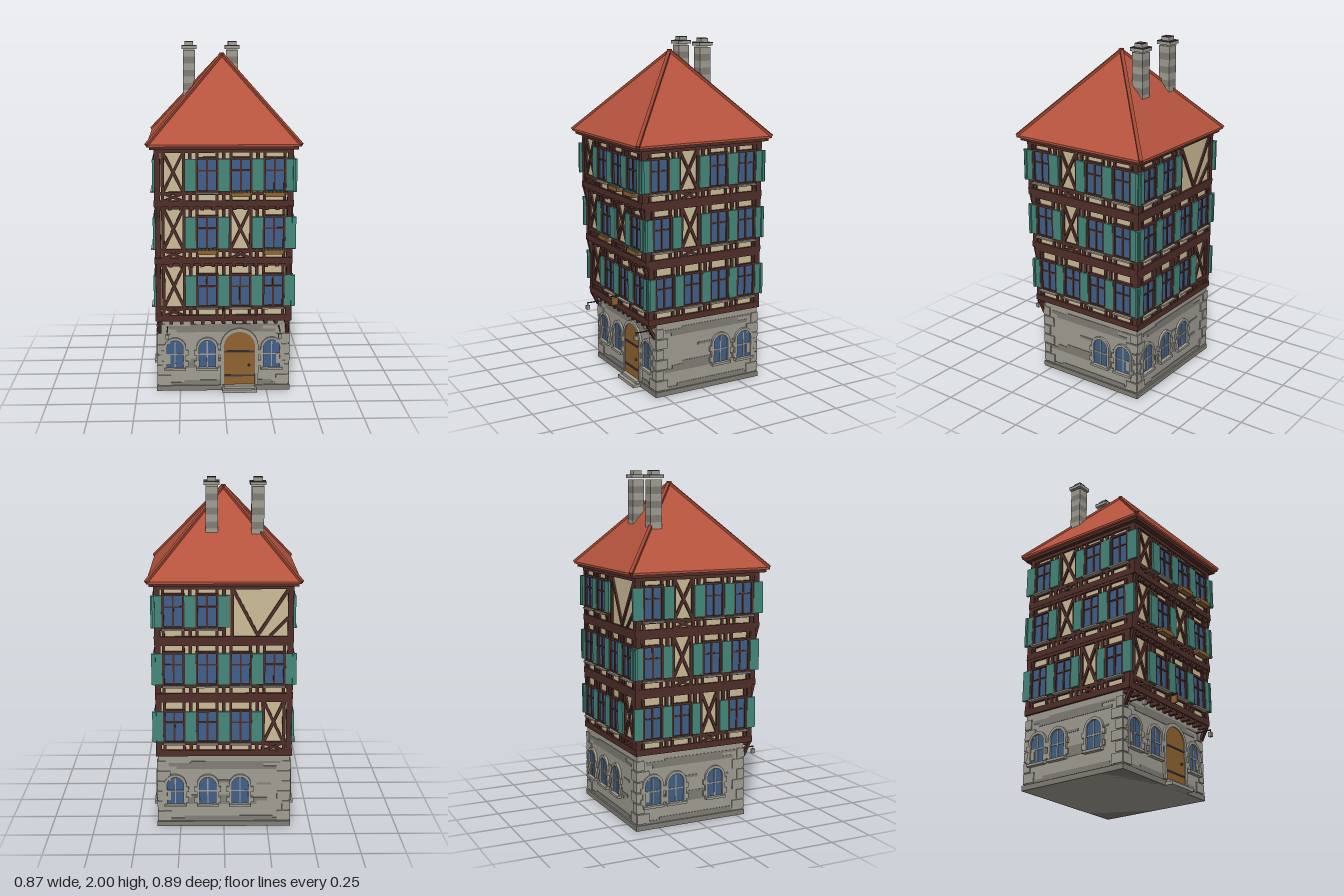
import * as THREE from 'three';

const paint = (name, hex) => {
  const m = new THREE.MeshStandardMaterial({ color: hex });
  m.name = name;
  return m;
};
const MAT = {
  roof: paint('roof tile', 0xb5533d), hip: paint('ridge tile', 0x9a4632),
  timber: paint('dark timber', 0x502e28), plaster: paint('cream plaster', 0xcdbd98),
  glass: paint('blue glass', 0x40608a), shutter: paint('teal shutter', 0x44897c),
  stone: paint('pale stone', 0xa19e93), rough: paint('dark stone', 0x827f77),
  wood: paint('oak', 0x90622f), soot: paint('slate', 0x3c3b41),
};

function add(parent, name, geo, mat, x = 0, y = 0, z = 0) {
  const m = new THREE.Mesh(geo, MAT[mat]);
  m.name = name;
  m.position.set(x, y, z);
  parent.add(m);
  return m;
}
// Box given by its centre and size
const box = (p, name, mat, x, y, z, w, h, d) => add(p, name, new THREE.BoxGeometry(w, h, d), mat, x, y, z);
// Beam lying on a wall between two points
function beam(p, name, x0, y0, x1, y1, t = 0.018, d = 0.01) {
  const m = box(p, name, 'timber', (x0 + x1) / 2, (y0 + y1) / 2, d / 2, Math.hypot(x1 - x0, y1 - y0), t, d);
  m.rotation.z = Math.atan2(y1 - y0, x1 - x0);
  return m;
}
function group(parent, name) {
  const g = new THREE.Group();
  g.name = name;
  parent.add(g);
  return g;
}
// The four walls: local x runs along the wall, local z points outwards
function walls(parent, name, hx, front, back, draw) {
  const mid = (front + back) / 2, depth = front - back;
  [['front', 0, 0, front, hx * 2], ['right', Math.PI / 2, hx, mid, depth],
    ['back', Math.PI, 0, back, hx * 2], ['left', -Math.PI / 2, -hx, mid, depth]].forEach(([side, rot, x, z, w]) => {
    const g = group(parent, side + name);
    g.position.set(x, 0, z);
    g.rotation.y = rot;
    draw(g, side, w);
  });
}

// Outline with a semicircular head
function arch(w, h, Type = THREE.Shape) {
  const s = new Type(), r = w / 2;
  s.moveTo(-r, 0);
  s.lineTo(r, 0);
  s.lineTo(r, h - r);
  s.absarc(0, h - r, r, 0, Math.PI, false);
  s.lineTo(-r, 0);
  return s;
}
const plate = (shape, depth) => new THREE.ExtrudeGeometry(shape, { depth, bevelEnabled: false, curveSegments: 10 });
function archSurround(w, h, t) {
  const s = arch(w + 2 * t, h + t);
  s.holes.push(arch(w, h, THREE.Path));
  return plate(s, 0.014);
}

function archWindow(p, x) {
  const g = group(p, 'archedWindow');
  g.position.set(x, 0.14, 0);
  add(g, 'glass', plate(arch(0.095, 0.165), 0.004), 'glass');
  add(g, 'surround', archSurround(0.095, 0.165, 0.016), 'stone');
  box(g, 'mullion', 'stone', 0, 0.08, 0.005, 0.007, 0.16, 0.006);
  box(g, 'transom', 'stone', 0, 0.08, 0.005, 0.095, 0.007, 0.006);
  box(g, 'sill', 'stone', 0, -0.007, 0.012, 0.125, 0.014, 0.026);
  for (const s of [-1, 1]) for (const y of [0.025, 0.09]) box(g, 'jambStone', 'stone', s * 0.062, y, 0.007, 0.03, 0.03, 0.012);
}

function casement(p, x, y, h = 0.19) {
  const g = group(p, 'casementWindow');
  g.position.set(x, y, 0);
  box(g, 'glass', 'glass', 0, h / 2, 0.004, 0.115, h, 0.008);
  for (const s of [-1, 1]) box(g, 'jamb', 'timber', s * 0.057, h / 2, 0.009, 0.013, h, 0.018);
  for (const e of [0, h]) box(g, 'rail', 'timber', 0, e, 0.009, 0.127, 0.013, 0.018);
  box(g, 'mullion', 'timber', 0, h / 2, 0.007, 0.01, h, 0.013);
  box(g, 'transom', 'timber', 0, h * 0.63, 0.007, 0.11, 0.008, 0.013);
  box(g, 'sill', 'stone', 0, -0.008, 0.017, 0.125, 0.009, 0.034);
  // short studs over and under the window
  for (const s of [-1, 1]) {
    beam(g, 'stud', s * 0.055, -0.06, s * 0.055, 0, 0.016);
    beam(g, 'stud', s * 0.055, h, s * 0.055, h + 0.065, 0.016);
  }
}

// One storey wall: W = window, X = crossed braces, P = wide panel over two bays
function timberWall(g, w, y0, y1, bays) {
  const bay = w / 4, sillY = y0 + 0.075, shutters = new Set();
  beam(g, 'floorBeam', -w / 2 - 0.012, y0 + 0.017, w / 2 + 0.012, y0 + 0.017, 0.035, 0.014);
  beam(g, 'topBeam', -w / 2 - 0.01, y1 - 0.014, w / 2 + 0.01, y1 - 0.014, 0.028, 0.012);
  for (const s of [-1, 1]) beam(g, 'cornerPost', s * (w / 2 - 0.006), y0, s * (w / 2 - 0.006), y1, 0.032, 0.012);
  [...bays].forEach((kind, i) => {
    const a = -w / 2 + i * bay, b = a + bay, c = a + bay / 2;
    if (kind === 'W') {
      casement(g, c, y0 + 0.085, 0.187);
      beam(g, 'sillRail', a, sillY, b, sillY, 0.018);
      shutters.add(i).add(i + 1);
    } else if (kind === 'X') {
      const l = a + 0.035, r = b - 0.035;
      for (const e of [l, r]) beam(g, 'post', e, y0, e, y1, 0.018);
      beam(g, 'sillRail', a, sillY, b, sillY, 0.018);
      for (const [p, q] of [[l, r], [r, l]]) {
        beam(g, 'longBrace', p, sillY, q, y1 - 0.02, 0.016);
        beam(g, 'shortBrace', p, y0 + 0.03, q, sillY, 0.013);
      }
    } else if (kind === 'P') {
      const r = b + bay - 0.02;
      beam(g, 'post', a + 0.045, y0, a + 0.045, y1, 0.02);
      beam(g, 'vBrace', a + 0.05, y1 - 0.03, b, y0 + 0.04, 0.018);
      beam(g, 'vBrace', r, y1 - 0.03, b, y0 + 0.04, 0.018);
      beam(g, 'footBrace', r, y0 + 0.14, r - 0.1, y0 + 0.035, 0.016);
    }
  });
  for (const i of shutters) {
    const x = -w / 2 + i * bay;
    beam(g, 'stud', x, y0, x, y1, 0.02);
    box(g, 'shutter', 'shutter', x, y0 + 0.178, 0.014, bay - 0.127, 0.18, 0.014);
  }
}

function flowerBox(p, x, y) {
  box(p, 'flowerBox', 'wood', x, y, 0.028, 0.11, 0.024, 0.035);
  for (let i = -2; i <= 2; i++) add(p, 'plant', new THREE.IcosahedronGeometry(0.01, 0), 'shutter', x + i * 0.021, y + 0.014, 0.03);
}

// Dark weathered patches with stepped ends: y, height, from, to (fractions of the half width)
const PATCHES = [[0.352, 0.018, -0.72, 0.8], [0.37, 0.02, -0.84, 0.6], [0.388, 0.012, -0.5, 0.86],
  [0.135, 0.02, -0.85, 0.5], [0.155, 0.02, -0.7, 0.66], [0.175, 0.018, -0.5, 0.45], [0.033, 0.016, -0.84, 0.84],
  [0.048, 0.014, -0.6, 0.75], [0.27, 0.015, -0.2, 0.12], [0.255, 0.012, 0.5, 0.72]];

function stoneWall(g, side, w) {
  PATCHES.forEach(([y, h, a, b]) => box(g, 'darkCourse', 'rough', (a + b) * w / 4, y + h / 2, 0.001, (b - a) * w / 2, h, 0.004));
  const columns = { front: [-0.28, -0.093, 0.28], back: [-0.28, -0.093, 0.093], right: [0.085, 0.245], left: [-0.245, -0.1, 0.15] };
  columns[side].forEach((x) => archWindow(g, x));
  // Corner stones, long and short in turn
  for (const s of [-1, 1]) for (let i = 0; i < 6; i++) {
    const len = i % 2 ? 0.045 : 0.075;
    box(g, 'cornerStone', 'stone', s * (w / 2 - len / 2 + 0.004), 0.065 + i * 0.062, 0.001, len, 0.055, 0.012);
  }
}

function door(g) {
  const d = group(g, 'door');
  d.position.set(0.093, 0.035, 0);
  add(d, 'doorLeaf', plate(arch(0.18, 0.32), 0.008), 'wood');
  add(d, 'doorSurround', archSurround(0.18, 0.32, 0.02), 'stone');
  for (const y of [0.055, 0.2]) box(d, 'ironBand', 'soot', 0, y, 0.009, 0.175, 0.01, 0.006);
  add(d, 'doorKnob', new THREE.SphereGeometry(0.007, 8, 6), 'soot', 0.055, 0.12, 0.013);
  box(g, 'lowerStep', 'stone', 0.093, 0.009, 0.025, 0.2, 0.018, 0.06);
  box(g, 'upperStep', 'stone', 0.093, 0.026, 0.015, 0.18, 0.016, 0.036);
}

function chimney(p, x, z) {
  const g = group(p, 'chimney');
  g.position.set(x, 0, z);
  for (let i = 0; i < 10; i++) box(g, 'course', i % 2 ? 'stone' : 'rough', 0, 1.578 + i * 0.039, 0, 0.07, 0.039, 0.07);
  box(g, 'cap', 'stone', 0, 1.964, 0, 0.088, 0.016, 0.088);
  box(g, 'capTop', 'soot', 0, 1.974, 0, 0.088, 0.006, 0.088);
  box(g, 'flue', 'stone', 0, 1.985, 0, 0.05, 0.022, 0.05);
  box(g, 'flueTop', 'soot', 0, 1.998, 0, 0.05, 0.004, 0.05);
}

export function createModel() {
  const house = new THREE.Group();
  house.name = 'timberFramedHouse';

  // Stone ground floor
  box(house, 'stoneBase', 'stone', 0, 0.22, -0.042, 0.754, 0.44, 0.676);
  box(house, 'plinth', 'rough', 0, 0.015, -0.043, 0.772, 0.03, 0.694);
  walls(house, 'StoneWall', 0.377, 0.296, -0.38, (g, side, w) => {
    stoneWall(g, side, w);
    if (side === 'front') door(g);
  });

  // Three jettied storeys
  const storeys = [
    { y0: 0.435, y1: 0.785, front: 0.338, bays: { front: 'XWWW', right: 'WWWW', back: 'WWWX', left: 'WWXW' }, boxes: [] },
    { y0: 0.775, y1: 1.115, front: 0.356, bays: { front: 'XWXW', right: 'WXWW', back: 'WWWW', left: 'WXWW' }, boxes: [-0.093, 0.28] },
    { y0: 1.105, y1: 1.435, front: 0.376, bays: { front: 'XWWW', right: 'WXWW', back: 'WWP-', left: 'WXWW' }, boxes: [0.093, 0.28] },
  ];
  let below = 0.296;
  for (const { y0, y1, front, bays, boxes } of storeys) {
    const back = -0.378, floor = group(house, 'storey');
    box(floor, 'plasterWalls', 'plaster', 0, (y0 + y1) / 2, (front + back) / 2, 0.75, y1 - y0, front - back);
    walls(floor, 'TimberWall', 0.375, front, back, (g, side, w) => {
      timberWall(g, w, y0, y1, bays[side]);
      if (side === 'front') boxes.forEach((x) => flowerBox(g, x, y0 + 0.072));
    });
    // Joist ends and corner brackets carrying the jetty
    for (let i = 0; i < 13; i++) box(floor, 'joistEnd', 'timber', -0.36 + i * 0.06, y0 - 0.009, (front + below) / 2 + 0.005, 0.02, 0.022, front - below + 0.012);
    for (const s of [-1, 1]) {
      const b = box(floor, 'cornerBracket', 'timber', s * 0.367, y0 - 0.04, (front + below) / 2 + 0.008, 0.022, 0.095, 0.016);
      b.rotation.x = Math.atan2(front - below, 0.08);
    }
    below = front;
  }

  // Lanterns and hanging board on the front
  for (const x of [-0.322, 0.32]) {
    box(house, 'lanternArm', 'soot', x, 0.385, 0.35, 0.006, 0.006, 0.1);
    box(house, 'lanternHanger', 'soot', x, 0.378, 0.397, 0.004, 0.016, 0.004);
    box(house, 'lantern', 'stone', x, 0.357, 0.397, 0.02, 0.026, 0.02);
  }
  box(house, 'boardArm', 'soot', 0, 0.512, 0.364, 0.006, 0.006, 0.06);
  box(house, 'hangingBoard', 'wood', 0, 0.48, 0.37, 0.008, 0.045, 0.042);

  // Hipped roof with eaves boards and ridge tiles
  const hx = 0.424, hz = 0.432, eave = 1.455, apex = 1.93;
  box(house, 'eavesBoard', 'timber', 0, 1.437, 0, 0.82, 0.02, 0.835);
  box(house, 'eavesTiles', 'roof', 0, 1.45, 0, hx * 2, 0.012, hz * 2);
  const cone = new THREE.ConeGeometry(Math.SQRT2, apex - eave, 4, 1).rotateY(Math.PI / 4).scale(hx, 1, hz).toNonIndexed();
  cone.computeVertexNormals();
  add(house, 'roof', cone, 'roof', 0, (eave + apex) / 2, 0);
  for (const sx of [-1, 1]) for (const sz of [-1, 1]) {
    const foot = new THREE.Vector3(sx * hx, eave, sz * hz), top = new THREE.Vector3(0, apex, 0);
    const hip = box(house, 'hipTiles', 'hip', 0, 0, 0, 0.02, 0.016, foot.distanceTo(top));
    hip.position.copy(foot).add(top).multiplyScalar(0.5);
    hip.lookAt(top);
  }
  box(house, 'roofTip', 'roof', 0, 1.93, 0, 0.025, 0.016, 0.02);

  chimney(house, -0.19, -0.187);
  chimney(house, 0.066, -0.18);
  return house;
}
